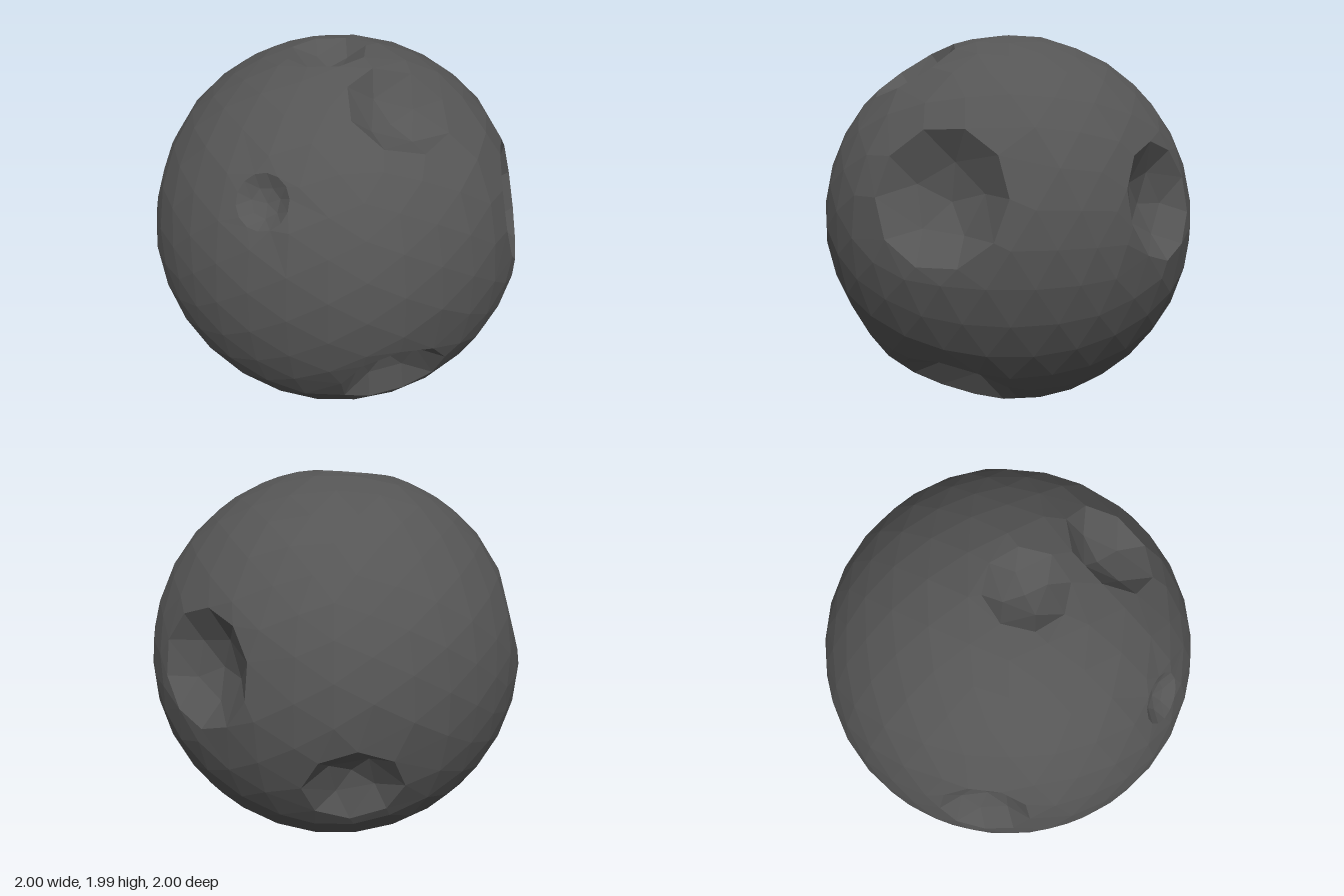
import * as THREE from 'three';
import { ConvexGeometry } from 'three/addons/geometries/ConvexGeometry.js';
import { mergeVertices } from 'three/addons/utils/BufferGeometryUtils.js';

// crater centre direction (x, y, z), rim radius, rim sides
const CRATERS = [
  [0.165, -0.455, 0.83, 0.275, 9],
  [0.21, 0.79, 0.475, 0.255, 8],
  [-0.065, 0.97, 0.08, 0.2, 8],
  [-0.43, 0.5, 0.73, 0.13, 14],
  [0.87, 0.215, 0.315, 0.325, 10],
  [0.48, -0.77, 0.26, 0.31, 10],
  [0.6, 0.165, -0.715, 0.29, 10],
  [-0.9, 0.27, -0.12, 0.225, 9],
  [-0.09, -0.35, -0.89, 0.245, 8],
].map(([x, y, z, r, sides]) => ({ n: new THREE.Vector3(x, y, z).normalize(), r, sides }));

const DEPTH = 0.42; // bowl depth relative to its radius

// distance of a point from the crater axis, in rim radii
function axisRatio(p, c) {
  const along = p.dot(c.n);
  if (along < 0) return Infinity;
  return p.clone().addScaledVector(c.n, -along).length() / c.r;
}

// ring of points on the unit sphere around the crater axis
function ring(c, ratio, sides) {
  const turn = new THREE.Quaternion().setFromUnitVectors(new THREE.Vector3(0, 0, 1), c.n);
  const rad = c.r * ratio, h = Math.sqrt(1 - rad * rad);
  return Array.from({ length: sides }, (_, i) => {
    const a = (i + 0.3) / sides * Math.PI * 2;
    return new THREE.Vector3(rad * Math.cos(a), rad * Math.sin(a), h).applyQuaternion(turn);
  });
}

// sink a point of the sphere into the crater bowl
function sink(p, c) {
  const t = axisRatio(p, c);
  const h = Math.sqrt(0.985 - c.r * c.r) - DEPTH * c.r * (1 - t * t);
  return p.clone().addScaledVector(c.n, h - p.dot(c.n));
}

function flatMesh(points, material, name) {
  const geo = new THREE.BufferGeometry().setFromPoints(points);
  geo.computeVertexNormals();
  const mesh = new THREE.Mesh(geo, material);
  mesh.name = name;
  return mesh;
}

export function createModel() {
  const group = new THREE.Group();
  group.name = 'crateredMoon';
  const rock = new THREE.MeshStandardMaterial({ color: 0x555555, flatShading: true });
  rock.name = 'dark grey rock';

  // sphere points outside the craters
  const ball = new THREE.IcosahedronGeometry(1, 5);
  ball.deleteAttribute('normal');
  ball.deleteAttribute('uv');
  const pos = mergeVertices(ball).attributes.position;
  const points = [];
  for (let i = 0; i < pos.count; i++) {
    const p = new THREE.Vector3().fromBufferAttribute(pos, i);
    if (CRATERS.every((c) => axisRatio(p, c) > 1 + 0.05 / c.r)) points.push(p);
  }

  // rim, inner ring and centre of each crater
  for (const c of CRATERS) {
    points.push(...ring(c, 1, c.sides), ...ring(c, 0.55, Math.ceil(c.sides / 2)), c.n.clone());
  }

  // triangulate on the sphere, then sink the craters and sort the faces by part
  const hull = new ConvexGeometry(points).attributes.position;
  const ground = [], bowls = CRATERS.map(() => []);
  for (let i = 0; i < hull.count; i += 3) {
    const tri = [0, 1, 2].map((k) => new THREE.Vector3().fromBufferAttribute(hull, i + k));
    const k = CRATERS.findIndex((c) => tri.every((p) => axisRatio(p, c) < 1.001));
    const moved = tri.map((p) => {
      const c = CRATERS.find((q) => axisRatio(p, q) < 1.001);
      return c ? sink(p, c) : p;
    });
    (k < 0 ? ground : bowls[k]).push(...moved);
  }
  group.add(flatMesh(ground, rock, 'ground'));
  bowls.forEach((b, i) => group.add(flatMesh(b, rock, `crater${i + 1}`)));
  group.children.forEach((m) => { m.position.y = 1; });
  return group;
}
